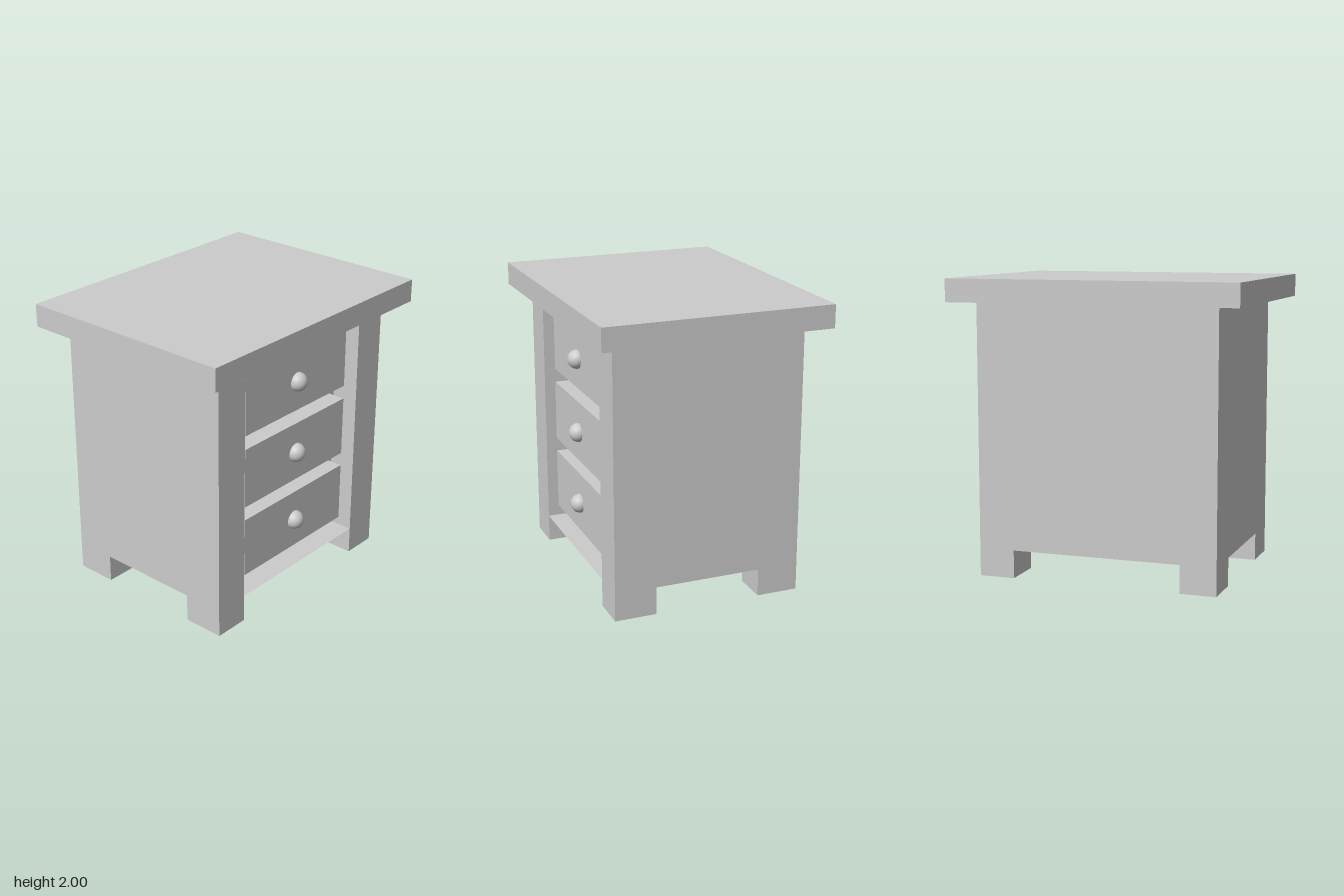
import * as THREE from 'three';

const material = new THREE.MeshStandardMaterial({ color: 0xcccccc });
const thinMaterial = new THREE.MeshStandardMaterial({ color: 0xcccccc, side: THREE.DoubleSide });

// Overall measures
const SIDE = 0.825, DEPTH = 0.65;        // half width and half depth of the body
const POST = 0.58, RECESS = 0.46;        // inner face of the posts, back of the front recess
const FLOOR = 0.19, BODY_TOP = 1.845;

function add(parent, name, geometry, mat = material) {
  const mesh = new THREE.Mesh(geometry, mat);
  mesh.name = name;
  parent.add(mesh);
  return mesh;
}

// Box given by its lowest and highest corner
function addBox(parent, name, [x0, y0, z0], [x1, y1, z1]) {
  const geometry = new THREE.BoxGeometry(x1 - x0, y1 - y0, z1 - z0);
  geometry.translate((x0 + x1) / 2, (y0 + y1) / 2, (z0 + z1) / 2);
  return add(parent, name, geometry);
}

export function createModel() {
  const model = new THREE.Group();
  model.name = 'nightstand';

  // Overhanging top board
  addBox(model, 'tabletop', [-0.99, BODY_TOP, -0.775], [0.99, 2, 0.775]);

  // Cabinet body: U-shaped plan with the front recess between two posts
  const plan = new THREE.Shape([
    [-SIDE, -DEPTH], [-POST, -DEPTH], [-POST, -RECESS], [POST, -RECESS],
    [POST, -DEPTH], [SIDE, -DEPTH], [SIDE, DEPTH], [-SIDE, DEPTH],
  ].map(([x, y]) => new THREE.Vector2(x, y)));
  const body = new THREE.ExtrudeGeometry(plan, { depth: BODY_TOP - FLOOR, bevelEnabled: false });
  body.rotateX(-Math.PI / 2).translate(0, FLOOR, 0);
  add(model, 'cabinetBody', body);

  // Thin floor of the recess
  const floor = new THREE.PlaneGeometry(2 * POST, DEPTH - RECESS);
  floor.rotateX(-Math.PI / 2).translate(0, FLOOR, (DEPTH + RECESS) / 2);
  add(model, 'recessFloor', floor, thinMaterial);

  // Four corner legs
  for (const [side, x0] of [['Left', POST], ['Right', -SIDE]]) {
    for (const [end, z0] of [['front', 0.365], ['back', -DEPTH]]) {
      addBox(model, `${end}${side}Leg`, [x0, 0, z0], [x0 + SIDE - POST, FLOOR, z0 + DEPTH - 0.365]);
    }
  }

  // Three drawers with round knobs
  ['bottom', 'middle', 'top'].forEach((level, i) => {
    const drawer = new THREE.Group();
    drawer.name = `${level}Drawer`;
    const y = 0.505 + i * 0.514;
    addBox(drawer, 'drawerFront', [-0.512, y - 0.209, RECESS], [0.512, y + 0.209, 0.595]);
    add(drawer, 'knob', new THREE.SphereGeometry(0.065, 32, 20)).position.set(0, y - 0.003, 0.6);
    model.add(drawer);
  });

  return model;
}
